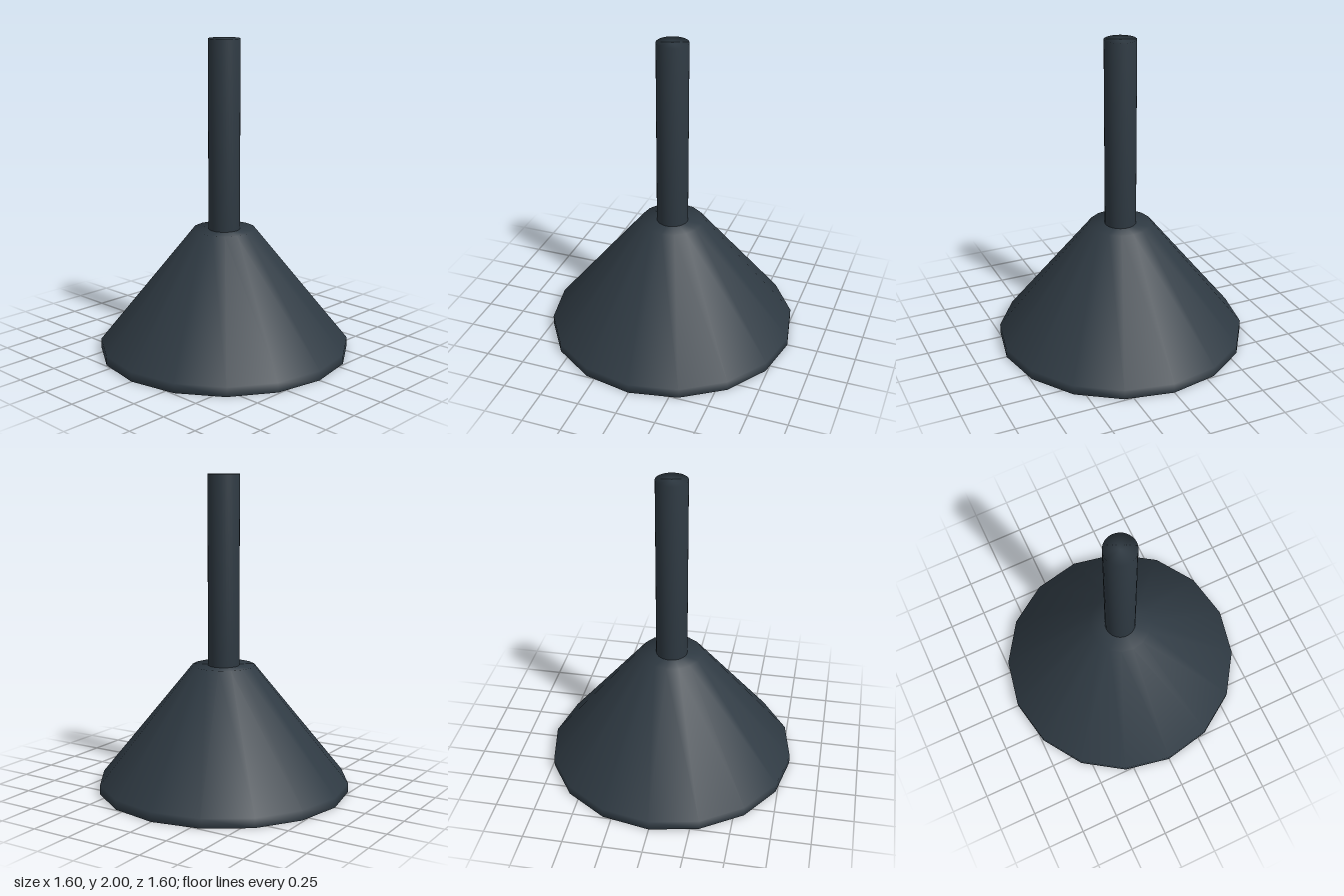
import * as THREE from 'three';

export function createModel() {
  const group = new THREE.Group();
  const darkMetal = new THREE.MeshStandardMaterial({ color: 0x2f3a43 });
  darkMetal.name = 'dark metal';
  const bulbWhite = new THREE.MeshStandardMaterial({ color: 0xe4e1de });
  bulbWhite.name = 'bulb white';

  // Turned part from [radius, height] pairs
  const turned = (name, profile, sides, material) => {
    const points = profile.map(([r, y]) => new THREE.Vector2(r, y));
    const mesh = new THREE.Mesh(new THREE.LatheGeometry(points, sides), material);
    mesh.name = name;
    group.add(mesh);
  };

  // Hollow 16-sided shade: inner wall down, rim, outer wall up
  turned('shade', [
    [0, 0.78], [0.19, 0.78], [0.78, 0.055], [0.78, 0],
    [0.8, 0], [0.8, 0.06], [0.2, 0.8], [0, 0.8],
  ], 16, darkMetal);

  // Hanging rod
  turned('rod', [[0, 0.8], [0.1, 0.8], [0.1, 2], [0, 2]], 32, darkMetal);

  // Socket joining the bulb to the shade
  turned('socket', [[0.08, 0.58], [0.08, 0.79]], 16, darkMetal);

  // Round bulb
  const bulb = new THREE.Mesh(new THREE.SphereGeometry(0.225, 32, 20), bulbWhite);
  bulb.name = 'bulb';
  bulb.position.y = 0.42;
  group.add(bulb);

  return group;
}
